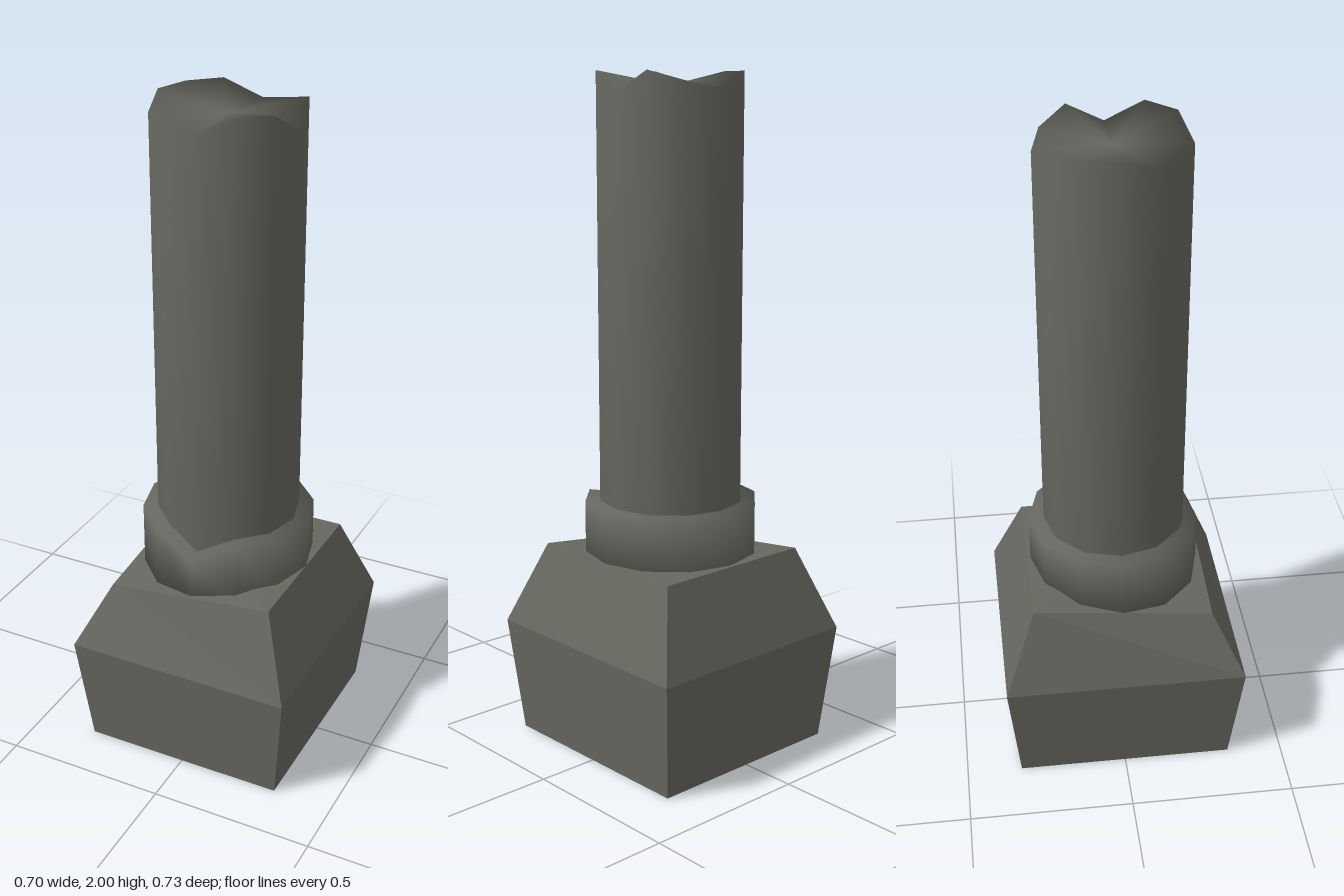
import * as THREE from 'three';

// Skins a stack of point loops (counter-clockwise from above) and fans the ends to a centre.
function loft(loops, topY, bottomY) {
  const n = loops[0].length;
  const points = loops.flat();
  const index = [];
  for (let k = 0; k < loops.length - 1; k++) {
    for (let i = 0; i < n; i++) {
      const j = (i + 1) % n;
      const a = k * n + i, b = k * n + j, c = b + n, d = a + n;
      index.push(a, b, d, b, c, d);
    }
  }
  const last = (loops.length - 1) * n;
  const top = points.push([0, topY, 0]) - 1;
  const bottom = points.push([0, bottomY, 0]) - 1;
  for (let i = 0; i < n; i++) {
    const j = (i + 1) % n;
    index.push(last + i, last + j, top, j, i, bottom);
  }
  const geometry = new THREE.BufferGeometry();
  geometry.setAttribute('position', new THREE.Float32BufferAttribute(points.flat(), 3));
  geometry.setIndex(index);
  geometry.computeVertexNormals();
  return geometry;
}

// Rectangle loop: front left-hand corner first, with its own height if given.
const rectangle = (x, z, y, firstY = y) => [[-x, firstY, z], [x, y, z], [x, y, -z], [-x, y, -z]];

// Twelve-sided loop starting at the front; one height per corner.
const ring = (radius, heights) => heights.map((y, i) => {
  const angle = (i * Math.PI * 2) / heights.length;
  return [radius * Math.sin(angle), y, radius * Math.cos(angle)];
});

export function createModel() {
  const group = new THREE.Group();
  const stone = new THREE.MeshStandardMaterial({ color: 0x66675f });
  stone.name = 'stone';

  const add = (name, geometry) => {
    const mesh = new THREE.Mesh(geometry, stone);
    mesh.name = name;
    group.add(mesh);
  };

  // Faceted plinth with one sunken top corner
  const plinth = loft([
    rectangle(0.315, 0.33, 0),
    rectangle(0.35, 0.365, 0.35),
    rectangle(0.26, 0.27, 0.6, 0.54),
  ], 0.6, 0).toNonIndexed();
  plinth.computeVertexNormals();
  add('plinth', plinth);

  // Collar, chipped at the front
  const collarTop = Array(12).fill(0.755);
  collarTop[0] = 0.69;
  add('collar', loft([ring(0.26, Array(12).fill(0.55)), ring(0.26, collarTop)], 0.755, 0.55));

  // Column shaft with a broken top
  const brokenRim = [1.95, 2, 2, 1.935, 2, 1.97, 1.95, 2, 2, 2, 1.965, 2];
  add('shaft', loft([ring(0.215, Array(12).fill(0.6)), ring(0.215, brokenRim)], 1.96, 0.6));

  return group;
}
